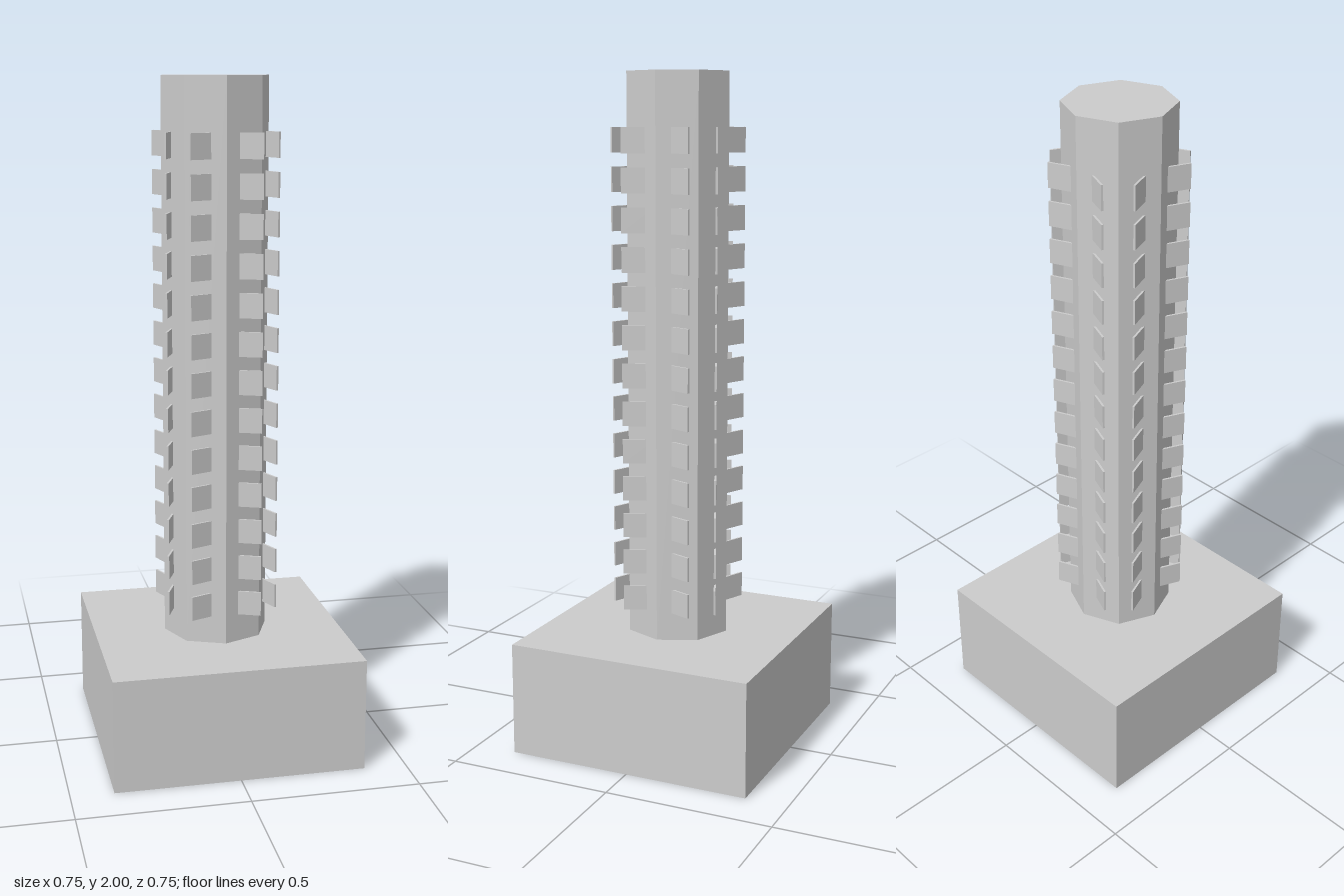
import * as THREE from 'three';

export function createModel() {
  const model = new THREE.Group();
  const stone = new THREE.MeshStandardMaterial({ color: 0xcccccc, side: THREE.DoubleSide });
  stone.name = 'lightGrey';

  const baseTop = 0.34, baseWidth = 0.746, radius = 0.158;

  const add = (name, geometry, parent = model) => {
    const mesh = new THREE.Mesh(geometry, stone);
    mesh.name = name;
    parent.add(mesh);
    return mesh;
  };

  // Hollow base block: thin walls and a top, open underneath
  const block = new THREE.BoxGeometry(baseWidth, baseTop, baseWidth);
  const bottom = block.groups[3]; // the -y side
  const index = Array.from(block.index.array);
  index.splice(bottom.start, bottom.count);
  block.setIndex(index);
  block.clearGroups();
  add('base', block).position.y = baseTop / 2;

  // Eight-sided tower shaft with corners on the axes
  const shaft = new THREE.CylinderGeometry(radius, radius, 2 - baseTop, 8).toNonIndexed();
  shaft.computeVertexNormals();
  add('shaft', shaft).position.y = (2 + baseTop) / 2;

  // Thin window panels standing out at 45 degrees from every face
  const panels = new THREE.Group();
  panels.name = 'windowPanels';
  model.add(panels);
  const panel = new THREE.BoxGeometry(0.097, 0.073, 0.006);
  for (let side = 0; side < 8; side++) {
    const angle = (side + 0.5) * Math.PI / 4;
    for (let row = 0; row < 13; row++) {
      const mesh = add('windowPanel', panel, panels);
      mesh.position.set(radius * Math.cos(angle), 0.46 + row * 0.1123, radius * Math.sin(angle));
      mesh.rotation.y = angle - Math.PI / 2;
    }
  }
  return model;
}
